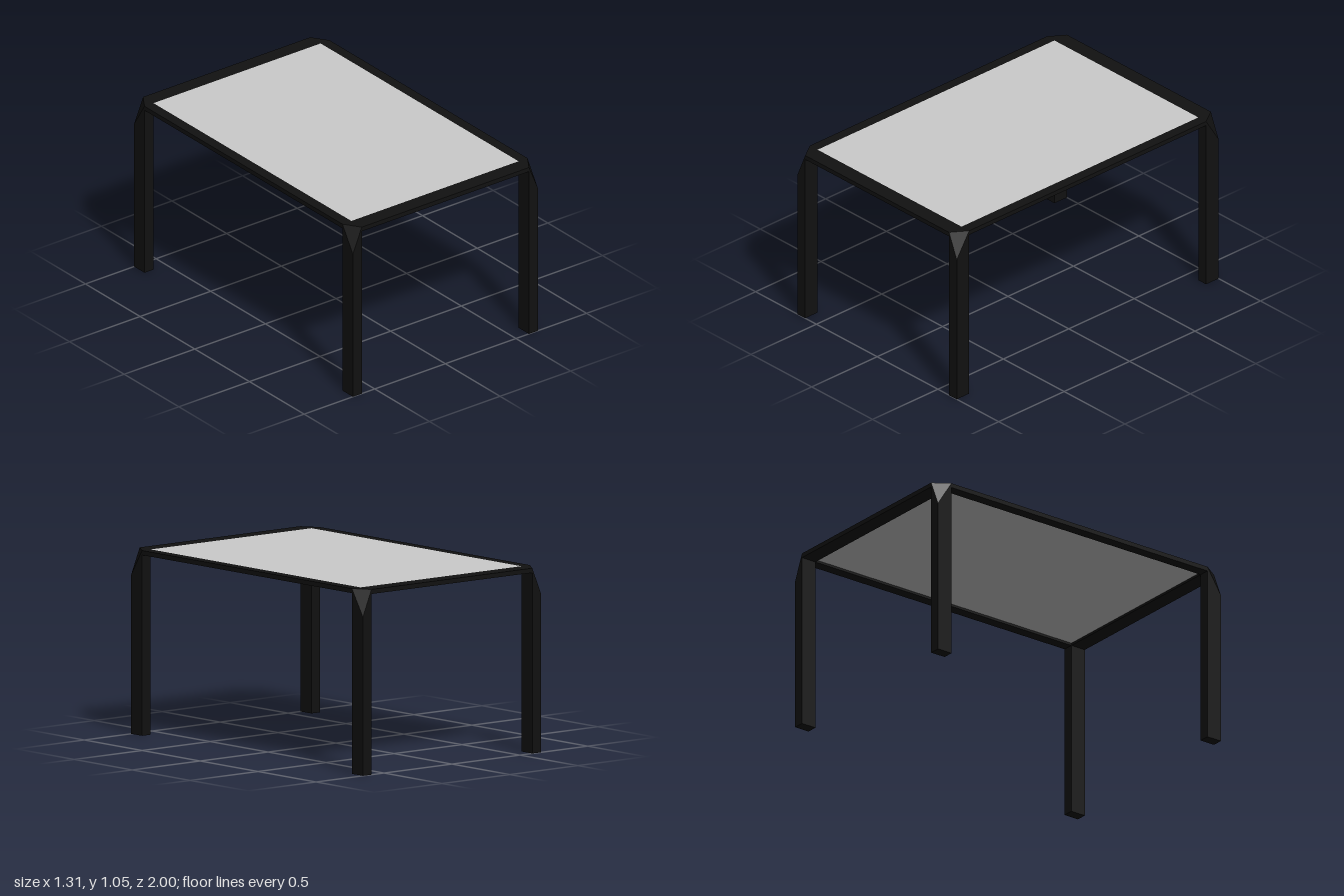
import * as THREE from 'three';
import { ConvexGeometry } from 'three/addons/geometries/ConvexGeometry.js';

const HX = 0.655, HZ = 1.0, TOP = 1.05;   // half width, half length, height
const LX = 0.063, LZ = 0.095;             // leg section
const RAIL = 0.026;                       // rail thickness
const CUT = 0.9;                          // height where the corner cut starts

export function createModel() {
  const group = new THREE.Group();
  const black = new THREE.MeshStandardMaterial({ color: 0x111111, flatShading: true });
  const grey = new THREE.MeshStandardMaterial({ color: 0xcccccc });

  const add = (name, geometry, material, x = 0, y = 0, z = 0) => {
    const mesh = new THREE.Mesh(geometry, material);
    mesh.name = name;
    mesh.position.set(x, y, z);
    group.add(mesh);
  };

  // Legs: square posts whose outer top corner is cut off diagonally
  const leg = (sx, sz) => {
    const points = [];
    for (const x of [HX - LX, HX])
      for (const z of [HZ - LZ, HZ]) {
        const outer = x === HX && z === HZ;
        points.push(new THREE.Vector3(sx * x, 0, sz * z));
        points.push(new THREE.Vector3(sx * x, outer ? CUT : TOP, sz * z));
      }
    return new ConvexGeometry(points);
  };
  for (const sx of [1, -1])
    for (const sz of [1, -1])
      add(`${sz > 0 ? 'front' : 'back'}${sx > 0 ? 'Left' : 'Right'}Leg`, leg(sx, sz), black);

  // Flat rails joining the legs
  const innerX = HX - LX, innerZ = HZ - LZ, railY = TOP - RAIL / 2;
  for (const s of [1, -1]) {
    add(s > 0 ? 'leftRail' : 'rightRail',
      new THREE.BoxGeometry(LX, RAIL, 2 * innerZ), black, s * (HX - LX / 2), railY, 0);
    add(s > 0 ? 'frontRail' : 'backRail',
      new THREE.BoxGeometry(2 * innerX, RAIL, LZ), black, 0, railY, s * (HZ - LZ / 2));
  }

  // Thin panel set flush inside the frame
  add('tabletop', new THREE.BoxGeometry(2 * innerX, 0.012, 2 * innerZ), grey, 0, TOP - 0.006, 0);

  return group;
}
